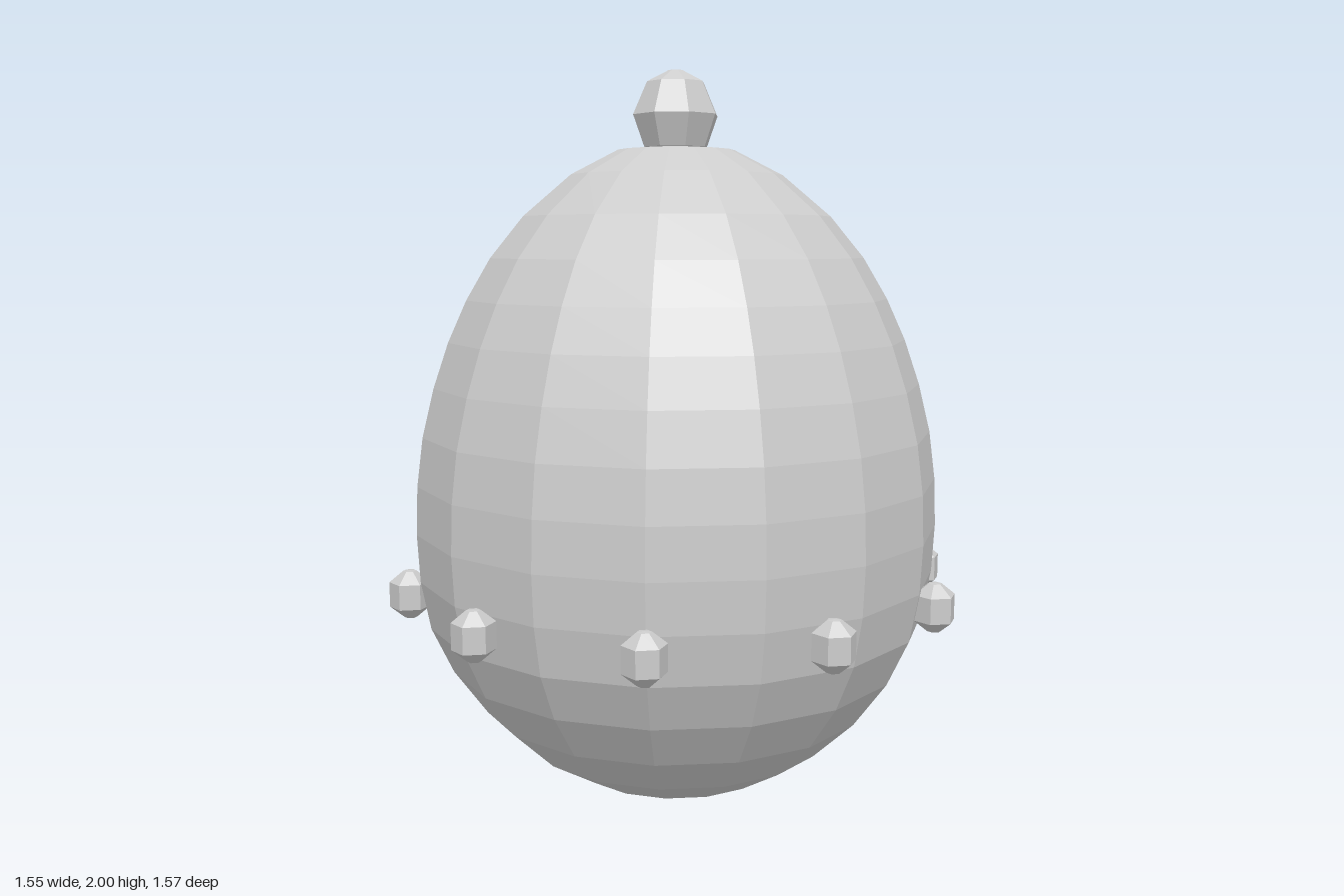
import * as THREE from 'three';

const grey = new THREE.MeshStandardMaterial({ color: 0xcccccc, flatShading: true });
grey.name = 'light grey';

// Faceted turned part; points are [radius, y] from bottom to top
function turned(name, points, sides, start = 0) {
  const profile = points.map(([r, y]) => new THREE.Vector2(r, y));
  const mesh = new THREE.Mesh(new THREE.LatheGeometry(profile, sides, start), grey);
  mesh.name = name;
  return mesh;
}

export function createModel() {
  const model = new THREE.Group();
  model.name = 'studdedEgg';

  // Egg body, wider towards the bottom
  model.add(turned('eggBody', [
    [0, 0.005], [0.285, 0.065], [0.425, 0.15], [0.54, 0.26], [0.63, 0.385],
    [0.688, 0.51], [0.713, 0.64], [0.72, 0.77], [0.715, 0.9], [0.698, 1.03],
    [0.666, 1.16], [0.625, 1.28], [0.575, 1.39], [0.51, 1.5], [0.42, 1.61],
    [0.29, 1.72], [0.16, 1.787], [0, 1.8],
  ], 16));

  // Octagonal knob on top
  model.add(turned('topKnob', [
    [0, 1.77], [0.088, 1.795], [0.119, 1.88], [0.08, 1.967], [0.02, 1.998], [0, 2],
  ], 8, Math.PI / 8));

  // Ring of ten hexagonal studs
  const studs = new THREE.Group();
  studs.name = 'studRing';
  for (let i = 0; i < 10; i++) {
    const a = THREE.MathUtils.degToRad(-9 + 36 * i);
    const stud = turned('stud', [
      [0, -0.066], [0.018, -0.064], [0.055, -0.034],
      [0.055, 0.034], [0.018, 0.064], [0, 0.066],
    ], 6);
    stud.position.set(0.738 * Math.cos(a), 0.597, 0.738 * Math.sin(a));
    studs.add(stud);
  }
  model.add(studs);
  return model;
}
